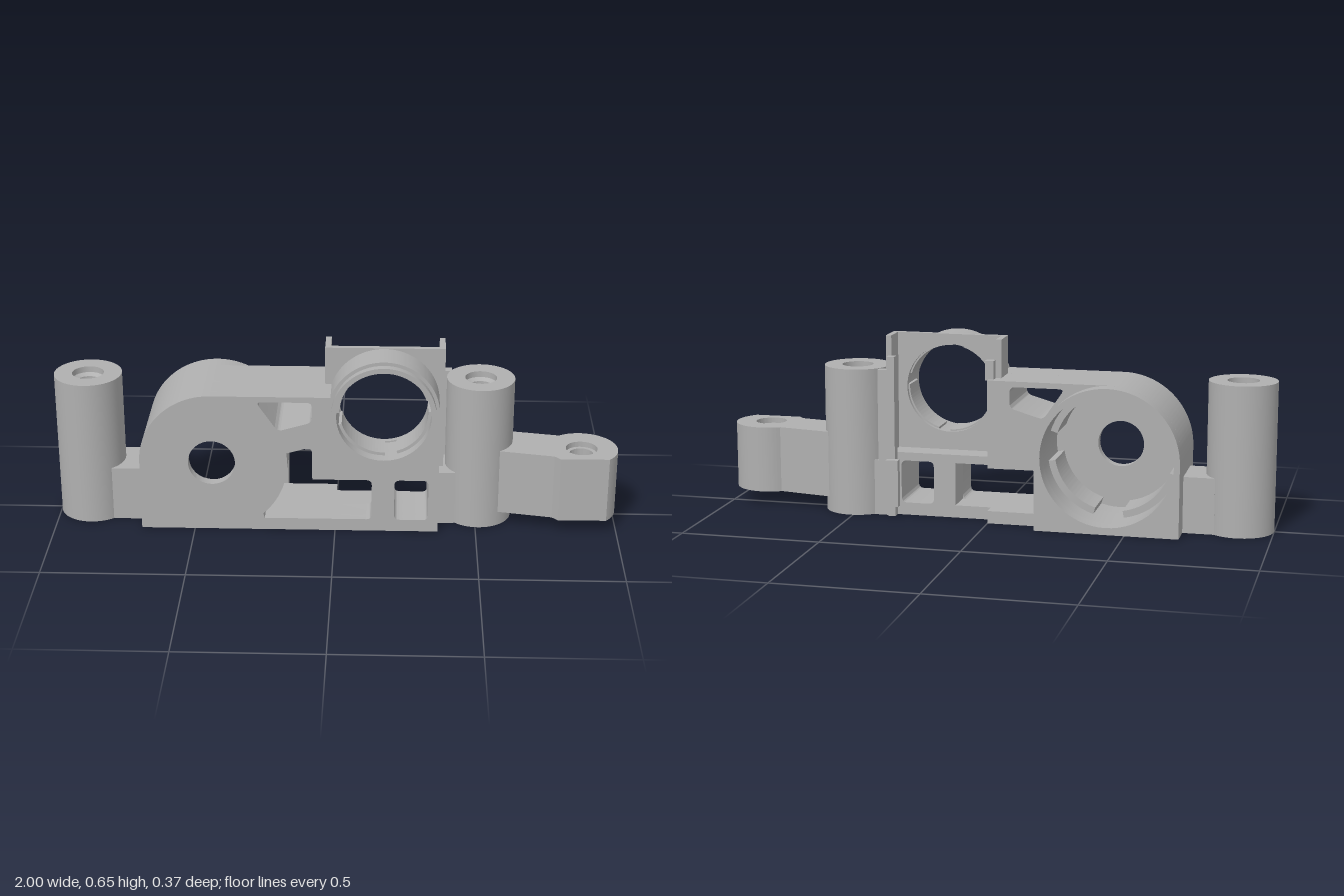
import * as THREE from 'three';
import { toCreasedNormals } from 'three/addons/utils/BufferGeometryUtils.js';

const PI = Math.PI;
const HX = -0.435, HY = 0.26, HR = 0.255; // round housing centre and radius
const RX = 0.17, RY = 0.455, RR = 0.195;  // ring centre and radius

export function createModel() {
  const group = new THREE.Group();
  const grey = new THREE.MeshStandardMaterial({ color: 0xb0b0b0 });

  const add = (name, geo) => {
    const mesh = new THREE.Mesh(toCreasedNormals(geo, 0.5), grey);
    mesh.name = name;
    group.add(mesh);
    return mesh;
  };
  const box = (name, x0, x1, y0, y1, z0, z1) => {
    const geo = new THREE.BoxGeometry(x1 - x0, y1 - y0, z1 - z0);
    add(name, geo.translate((x0 + x1) / 2, (y0 + y1) / 2, (z0 + z1) / 2));
  };
  // Plate with holes spanning z0..z1
  const plate = (name, shape, holes, z0, z1) => {
    shape.holes = holes;
    const geo = new THREE.ExtrudeGeometry(shape, { depth: z1 - z0, bevelEnabled: false, curveSegments: 32 });
    add(name, geo.translate(0, 0, z0));
  };
  const poly = (pts) => new THREE.Shape(pts.map(([x, y]) => new THREE.Vector2(x, y)));
  const circle = (x, y, r) => new THREE.Shape().absarc(x, y, r, 0, PI * 2, false);
  // Polygon with rounded corners
  const rounded = (pts, r) => {
    const s = new THREE.Shape();
    const v = pts.map(([x, y]) => new THREE.Vector2(x, y));
    v.forEach((p, i) => {
      const prev = v[(i + v.length - 1) % v.length], next = v[(i + 1) % v.length];
      const a = prev.clone().sub(p).setLength(r).add(p);
      const b = next.clone().sub(p).setLength(r).add(p);
      if (i) s.lineTo(a.x, a.y); else s.moveTo(a.x, a.y);
      s.quadraticCurveTo(p.x, p.y, b.x, b.y);
    });
    s.closePath();
    return s;
  };
  // Evenly spaced arc pads lining a bore
  const pads = (name, x, y, rIn, rOut, count, span, z0, z1) => {
    for (let i = 0; i < count; i++) {
      const a = (i / count) * PI * 2 + 0.3;
      const s = new THREE.Shape();
      s.absarc(x, y, rOut, a, a + span, false);
      s.absarc(x, y, rIn, a + span, a, true);
      s.closePath();
      plate(name, s, [], z0, z1);
    }
  };

  // Openings shared by the body layers
  const triangleHole = () => rounded([[-0.275, 0.495], [-0.2, 0.385], [-0.08, 0.42], [-0.08, 0.495]], 0.02);
  const smallWindow = () => rounded([[0.21, 0.045], [0.33, 0.045], [0.33, 0.2], [0.21, 0.2]], 0.02);
  const windowArc = (s) => s.absarc(HX, HY, 0.267, -0.83, 0.15, false);
  const mainWindow = () => {
    const s = new THREE.Shape();
    windowArc(s);
    s.lineTo(-0.1, 0.32);
    s.quadraticCurveTo(-0.08, 0.32, -0.08, 0.3);
    s.lineTo(-0.08, 0.2);
    s.lineTo(0.11, 0.2);
    s.quadraticCurveTo(0.13, 0.2, 0.13, 0.18);
    s.lineTo(0.13, 0.065);
    s.quadraticCurveTo(0.13, 0.045, 0.11, 0.045);
    s.lineTo(-0.25, 0.045);
    s.closePath();
    return s;
  };
  const roundCorner = (s) => {
    s.lineTo(HX, HY + HR);
    s.absarc(HX, HY, HR, PI / 2, PI, false);
    s.closePath();
    return s;
  };

  // Front body, following the ring at the right and the housing at the left
  const frontOutline = () => {
    const s = new THREE.Shape();
    s.moveTo(-0.69, 0);
    s.lineTo(0.365, 0);
    s.absarc(RX, RY, RR, 0, PI - 0.313, false);
    return roundCorner(s);
  };
  const openings = (r) => [circle(HX, HY, r), circle(RX, RY, 0.165), triangleHole(), mainWindow(), smallWindow()];
  plate('bodyFrontWall', frontOutline(), openings(0.083), 0.12, 0.157);
  plate('bodyFront', frontOutline(), openings(0.235), 0.035, 0.12);

  // Rear body, open toward the ring bay
  const rear = new THREE.Shape();
  rear.moveTo(-0.69, 0);
  rear.lineTo(0, 0);
  rear.lineTo(0, 0.045);
  rear.lineTo(-0.25, 0.045);
  windowArc(rear);
  rear.lineTo(-0.08, 0.32);
  rear.lineTo(-0.08, 0.2);
  rear.lineTo(0, 0.2);
  rear.lineTo(0, HY + HR);
  plate('bodyRear', roundCorner(rear), [circle(HX, HY, 0.235), triangleHole()], -0.122, 0.035);
  box('pocketBack', -0.18, -0.07, 0.2, 0.33, -0.12, -0.09);

  // Round housing rim at the back, squared off at its foot
  const rim = new THREE.Shape();
  rim.moveTo(-0.69, 0);
  rim.lineTo(-0.18, 0);
  rim.absarc(HX, HY, HR, 0, PI, false);
  rim.closePath();
  plate('housingRim', rim, [circle(HX, HY, 0.235)], -0.182, -0.122);
  pads('housingPad', HX, HY, 0.21, 0.236, 4, 1.1, -0.04, 0.121);

  // Lower frame behind the windows
  const frame = poly([[0, 0], [0.365, 0], [0.365, 0.23], [0, 0.23], [0, 0.2], [0.13, 0.2], [0.13, 0.045], [0, 0.045]]);
  plate('lowerFrame', frame, [smallWindow()], -0.07, 0.035);

  // Ring lip, its lining and the square backing plate with side fins
  plate('ringLip', circle(RX, RY, 0.183), [circle(RX, RY, 0.165)], 0.157, 0.184);
  pads('ringPad', RX, RY, 0.154, 0.166, 4, 1.3, 0.03, 0.14);
  plate('ringPlate', poly([[-0.038, 0.2], [0.383, 0.2], [0.383, 0.652], [-0.038, 0.652]]),
    [circle(RX, RY, 0.16)], 0.015, 0.034);
  box('sideFin', -0.038, -0.018, 0.2, 0.652, -0.07, 0.02);
  box('sideFin', 0.363, 0.383, 0.2, 0.652, -0.07, 0.02);

  // Guide rails at the back of the ring bay
  box('guideRail', -0.018, 0.014, 0.51, 0.58, -0.1, -0.07);
  box('guideRail', 0.345, 0.373, 0, 0.58, -0.102, -0.068);
  box('guideTab', 0.328, 0.373, 0.04, 0.21, -0.125, -0.1);
  box('railWeb', 0.37, 0.41, 0, 0.53, -0.09, -0.06);

  // Upright posts with bored, chamfered ends
  const post = [[0.042, 0], [0.12, 0], [0.12, 0.532], [0.056, 0.532], [0.056, 0.51], [0.042, 0.5], [0.042, 0]];
  for (const x of [-0.88, 0.51]) {
    const geo = new THREE.LatheGeometry(post.map(([r, y]) => new THREE.Vector2(r, y)), 48);
    add('post', geo.translate(x, 0, 0));
  }
  box('leftBracket', -0.8, -0.685, 0, 0.2, -0.09, 0.09);
  box('rightBracket', 0.36, 0.425, 0, 0.2, -0.09, 0.09);

  // Side arm ending in a rounded, bored lug
  const arm = new THREE.Shape();
  arm.moveTo(0.58, 0.08);
  arm.lineTo(0.8, 0.04);
  arm.absarc(0.87, -0.065, 0.128, 2.16, -0.78, true);
  arm.lineTo(0.79, -0.157);
  arm.lineTo(0.77, -0.135);
  arm.lineTo(0.58, -0.098);
  arm.closePath();
  arm.holes = [circle(0.87, -0.065, 0.042)];
  const lug = new THREE.ExtrudeGeometry(arm, { depth: 0.22, bevelEnabled: false, curveSegments: 32 });
  add('sideArm', lug.rotateX(-PI / 2).translate(0, 0.052, 0));
  const armTop = arm.clone();
  armTop.holes = [circle(0.87, -0.065, 0.056)];
  const cap = new THREE.ExtrudeGeometry(armTop, { depth: 0.02, bevelEnabled: false, curveSegments: 32 });
  add('sideArmTop', cap.rotateX(-PI / 2).translate(0, 0.272, 0));

  return group;
}
